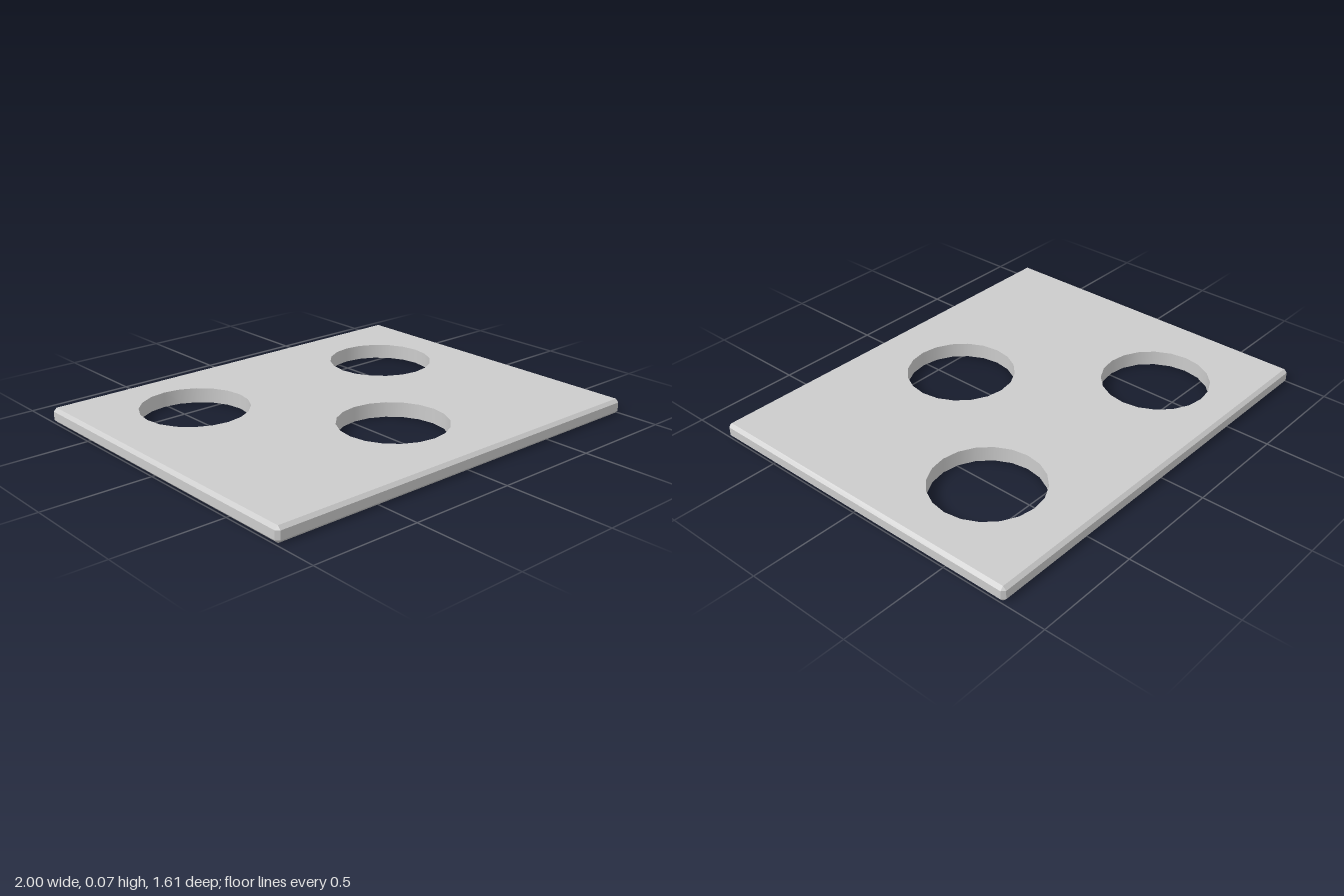
import * as THREE from 'three';

const X = 1, Z = 0.805, H = 0.07, C = 0.015; // half width, half depth, height, chamfer
const R = 0.25, SIDES = 20;
const HOLES = [[-0.515, -0.39], [0.57, -0.335], [0.018, 0.333]]; // x, z

const CORNERS = [[1, 1], [-1, 1], [-1, -1], [1, -1]];

// Flat face with the round holes cut out; dir = 1 faces up, -1 faces down
function face(dir) {
  const shape = new THREE.Shape(CORNERS.map(([x, z]) => new THREE.Vector2(x * (X - C), -dir * z * (Z - C))));
  for (const [hx, hz] of HOLES) {
    const pts = [];
    for (let i = 0; i < SIDES; i++) {
      const a = (i / SIDES) * Math.PI * 2;
      pts.push(new THREE.Vector2(hx + R * Math.cos(a), -dir * hz + R * Math.sin(a)));
    }
    shape.holes.push(new THREE.Path(pts));
  }
  return new THREE.ShapeGeometry(shape).rotateX(-dir * Math.PI / 2).translate(0, dir > 0 ? H : 0, 0);
}

// Eight-point outline at height y; the inset one closes each corner to a point
function outline(y, inset) {
  return CORNERS.flatMap(([sx, sz], i) => {
    const a = [sx * (inset ? X - C : X), y, sz * (Z - C)];
    const b = [sx * (X - C), y, sz * (inset ? Z - C : Z)];
    return i % 2 ? [b, a] : [a, b];
  });
}

// Chamfered rim between stacked outlines
function rim() {
  const loops = [outline(0, true), outline(C, false), outline(H - C, false), outline(H, true)];
  const pos = [];
  for (let k = 0; k < 3; k++) {
    for (let i = 0; i < 8; i++) {
      const j = (i + 1) % 8, lo = loops[k], hi = loops[k + 1];
      const corner = i % 2 === 0;
      if (!(corner && k === 2)) pos.push(...lo[i], ...hi[i], ...hi[j]);
      else pos.push(...lo[i], ...hi[i], ...lo[j]);
      if (!corner || k === 1) pos.push(...lo[i], ...hi[j], ...lo[j]);
    }
  }
  const g = new THREE.BufferGeometry();
  g.setAttribute('position', new THREE.Float32BufferAttribute(pos, 3));
  g.computeVertexNormals();
  return g;
}

export function createModel() {
  const group = new THREE.Group();
  group.name = 'plateWithHoles';
  const mat = new THREE.MeshStandardMaterial({ color: 0xcccccc });
  const add = (name, geometry) => {
    const mesh = new THREE.Mesh(geometry, mat);
    mesh.name = name;
    group.add(mesh);
    return mesh;
  };

  add('topFace', face(1));
  add('bottomFace', face(-1));
  add('chamferedRim', rim());

  // Hole walls: profile runs downward so the surface faces inward
  const wall = new THREE.LatheGeometry([new THREE.Vector2(R, H), new THREE.Vector2(R, 0)], SIDES);
  HOLES.forEach(([x, z], i) => add(`holeWall${i + 1}`, wall).position.set(x, 0, z));

  return group;
}
